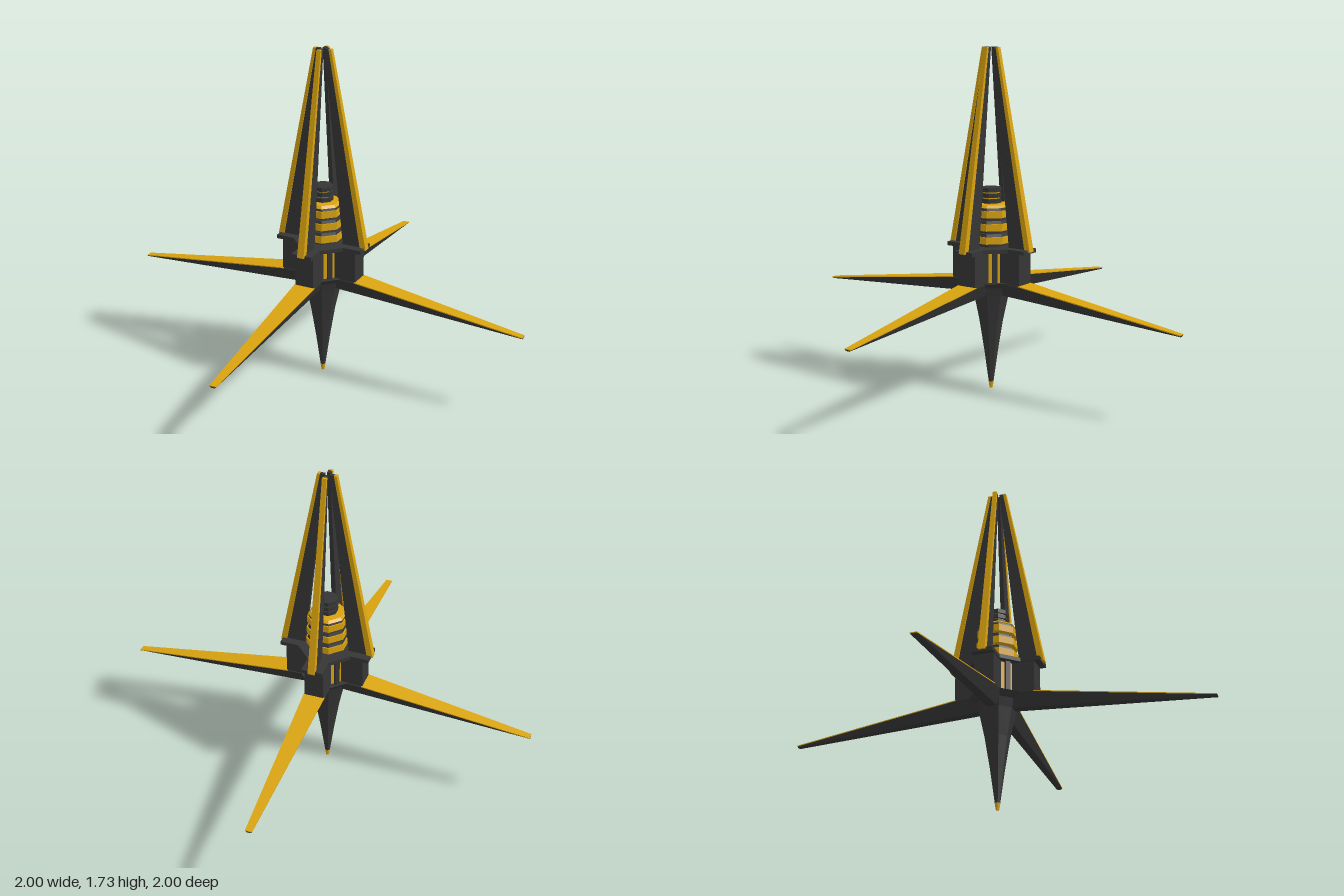
import * as THREE from 'three';
import { ConvexGeometry } from 'three/addons/geometries/ConvexGeometry.js';

const mat = (name, color) => Object.assign(new THREE.MeshStandardMaterial({ color, flatShading: true }), { name });

export function createModel() {
  const dark = mat('charcoal', 0x363636);
  const gold = mat('gold', 0xd9a30f);
  const model = new THREE.Group();
  model.name = 'spikedBeacon';

  const add = (parent, name, geometry, material) => {
    const mesh = new THREE.Mesh(geometry, material);
    mesh.name = name;
    parent.add(mesh);
    return mesh;
  };

  // Eight-sided drum between two heights
  const drum = (name, y0, y1, r0, r1, material) => {
    const g = new THREE.CylinderGeometry(r1, r0, y1 - y0, 8);
    g.translate(0, (y0 + y1) / 2, 0);
    return add(model, name, g, material);
  };

  // Solid hull of cross-section points [x, y, halfWidth], mirrored over z
  const hull = (parent, name, points, material) => add(parent, name,
    new ConvexGeometry(points.flatMap(([x, y, w]) =>
      [new THREE.Vector3(x, y, w), new THREE.Vector3(x, y, -w)])), material);

  const box = (parent, name, x0, x1, y0, y1, width, material) => {
    const g = new THREE.BoxGeometry(x1 - x0, y1 - y0, width);
    g.translate((x0 + x1) / 2, (y0 + y1) / 2, 0);
    return add(parent, name, g, material);
  };

  // Lower spike with gold tip
  const profile = [[0.013, 0.035], [0.036, 0.2], [0.062, 0.36], [0.092, 0.5], [0.11, 0.56]];
  add(model, 'spike', new THREE.LatheGeometry(profile.map(([r, y]) => new THREE.Vector2(r, y)), 8), dark);
  drum('spikeTip', 0, 0.035, 0.008, 0.014, gold);

  // Hub: gold core between two dark plates
  drum('lowerPlate', 0.545, 0.57, 0.12, 0.14, dark);
  drum('hubCore', 0.57, 0.725, 0.108, 0.108, gold);
  drum('upperPlate', 0.725, 0.745, 0.15, 0.15, dark);

  // Stacked coil
  drum('coilCore', 0.745, 0.95, 0.075, 0.075, dark);
  for (let i = 0; i < 3; i++) {
    const y = 0.765 + i * 0.065;
    const r = 0.108 - i * 0.003;
    drum('goldCoil', y, y + 0.036, r, r, gold);
    drum('darkCoil', y + 0.036, y + 0.05, r - 0.006, r - 0.012, dark);
  }
  drum('coilCap', 0.945, 0.957, 0.098, 0.085, gold);

  // Small finial rings
  drum('finialCore', 0.957, 1.03, 0.042, 0.042, gold);
  for (let i = 0; i < 3; i++) {
    const y = 0.962 + i * 0.028;
    drum('finialRing', y, y + 0.021, 0.053, 0.053, dark);
  }

  for (let i = 0; i < 4; i++) {
    const arm = new THREE.Group();
    arm.name = 'arm' + (i + 1);
    arm.rotation.y = Math.PI / 8 + i * Math.PI / 2;
    model.add(arm);

    // Arm block and its foot plate
    box(arm, 'armBlock', 0.05, 0.205, 0.56, 0.73, 0.1, dark);
    box(arm, 'footPlate', 0.05, 0.235, 0.725, 0.745, 0.11, dark);

    // Upright fin leaning inward, with gold outer rail
    hull(arm, 'fin', [[0.118, 0.74, 0.013], [0.222, 0.74, 0.013],
      [0.012, 1.733, 0.008], [0.036, 1.733, 0.008]], dark);
    hull(arm, 'finRail', [[0.215, 0.735, 0.018], [0.246, 0.735, 0.018],
      [0.034, 1.733, 0.011], [0.048, 1.733, 0.011]], gold);

    // Long drooping blade: dark keeled underside, gold top plate
    hull(arm, 'blade', [[0.08, 0.568, 0.055], [0.2, 0.563, 0.055], [1.075, 0.443, 0.017],
      [0.08, 0.5, 0.025], [0.22, 0.528, 0.022], [1.075, 0.437, 0.01]], dark);
    hull(arm, 'bladeTop', [[0.2, 0.562, 0.055], [1.075, 0.442, 0.017],
      [0.2, 0.567, 0.055], [1.075, 0.447, 0.017]], gold);

    // Dark post on the hub face between two arms
    const post = new THREE.Group();
    post.name = 'hubPost';
    post.rotation.y = Math.PI / 4;
    arm.add(post);
    box(post, 'post', 0.09, 0.118, 0.565, 0.73, 0.024, dark);
  }
  return model;
}
